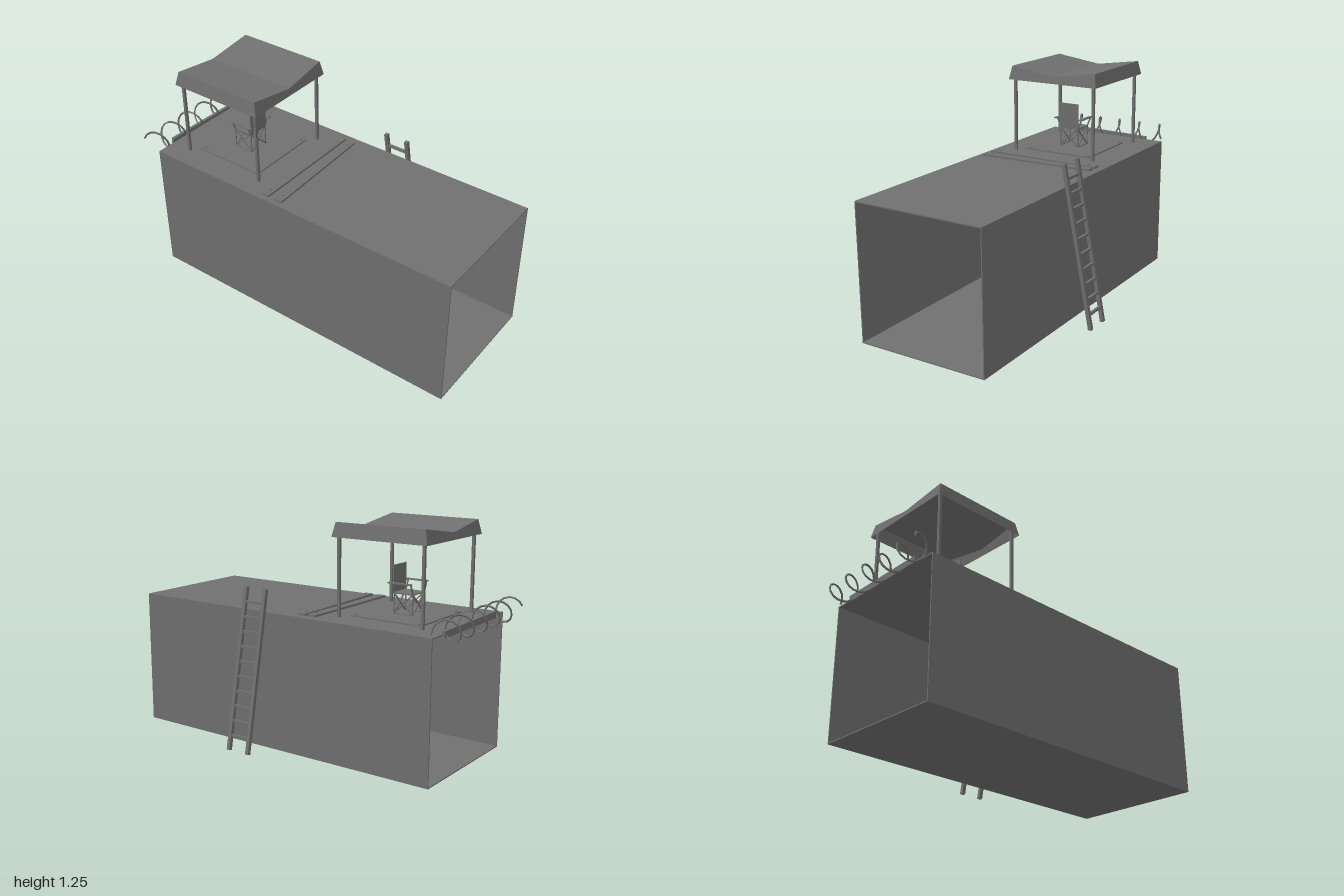
import * as THREE from 'three';

const mat = new THREE.MeshStandardMaterial({ color: 0x707070, flatShading: true, side: THREE.DoubleSide });

function add(parent, name, geometry, x = 0, y = 0, z = 0) {
  const mesh = new THREE.Mesh(geometry, mat);
  mesh.name = name;
  mesh.position.set(x, y, z);
  parent.add(mesh);
  return mesh;
}
const box = (parent, name, w, h, d, x, y, z) => add(parent, name, new THREE.BoxGeometry(w, h, d), x, y, z);

// Square bar between two points
function bar(parent, name, a, b, r) {
  const p = new THREE.Vector3(...a), q = new THREE.Vector3(...b);
  const dir = q.clone().sub(p);
  const geo = new THREE.CylinderGeometry(r, r, dir.length(), 4).rotateY(Math.PI / 4);
  const mesh = add(parent, name, geo);
  mesh.position.copy(p).add(q).multiplyScalar(0.5);
  mesh.quaternion.setFromUnitVectors(new THREE.Vector3(0, 1, 0), dir.normalize());
}

function group(parent, name) {
  const g = new THREE.Group();
  g.name = name;
  parent.add(g);
  return g;
}

// Container: four thin walls, both ends open
function container(root) {
  const g = group(root, 'container');
  const t = 0.006, L = 1.885, cx = 0.0575, cz = 0.079, W = 0.753, y0 = 0.003, y1 = 0.758;
  box(g, 'containerFloor', L, t, W, cx, y0 + t / 2, cz);
  box(g, 'containerTop', L, t, W, cx, y1 - t / 2, cz);
  for (const s of [-1, 1])
    box(g, s > 0 ? 'frontWall' : 'backWall', L, y1 - y0 - 2 * t, t, cx, (y0 + y1) / 2, cz + s * (W - t) / 2);
}

// Canopy: butterfly roof with a flared skirt on four posts
function canopy(root) {
  const g = group(root, 'canopy');
  const cx = -0.508, cz = 0.088, yb = 1.174;
  // stations along z: [top z, top y, top half width, hem z]
  const st = [[-0.268, 1.251, 0.262, -0.282], [0, 1.211, 0.27, 0], [0.268, 1.251, 0.262, 0.282]];
  const pos = [];
  const quad = (a, b, c, d) => pos.push(...a, ...b, ...c, ...a, ...c, ...d);
  const top = (i, s) => [s * st[i][2], st[i][1], st[i][0]];
  const hem = (i, s) => [s * 0.279, yb, st[i][3]];
  for (let i = 0; i < 2; i++) {
    quad(top(i, -1), top(i + 1, -1), top(i + 1, 1), top(i, 1));
    quad(hem(i, -1), hem(i + 1, -1), top(i + 1, -1), top(i, -1));
    quad(hem(i + 1, 1), hem(i, 1), top(i, 1), top(i + 1, 1));
  }
  quad(hem(2, -1), hem(2, 1), top(2, 1), top(2, -1));
  quad(hem(0, 1), hem(0, -1), top(0, -1), top(0, 1));
  const geo = new THREE.BufferGeometry();
  geo.setAttribute('position', new THREE.Float32BufferAttribute(pos, 3));
  geo.computeVertexNormals();
  add(g, 'canopyRoof', geo, cx, 0, cz);
  for (const sx of [-1, 1]) for (const sz of [-1, 1])
    box(g, 'canopyPost', 0.015, 0.46, 0.015, cx + sx * 0.249, 0.988, cz + sz * 0.254);
}

// Floor mat with corner pegs, and two boards with fixings
function deck(root) {
  const g = group(root, 'deck');
  box(g, 'floorMat', 0.42, 0.007, 0.42, -0.51, 0.7615, 0.09);
  for (const sx of [-1, 1]) for (const sz of [-1, 1])
    add(g, 'matPeg', new THREE.CylinderGeometry(0.009, 0.009, 0.006, 8), -0.51 + sx * 0.19, 0.767, 0.09 + sz * 0.19);
  for (const [x, turn] of [[-0.145, 0], [-0.07, 0.034]]) {
    const b = group(g, 'plank');
    b.position.set(x, 0.764, 0.085);
    b.rotation.y = turn;
    box(b, 'plankBoard', 0.048, 0.011, 0.678, 0, 0, 0);
    for (const sz of [-1, 1])
      add(b, 'plankBolt', new THREE.CylinderGeometry(0.007, 0.007, 0.006, 8), 0, 0.007, sz * 0.29);
  }
}

// Folding chair facing -x
function chair(root) {
  const g = group(root, 'chair');
  g.position.set(-0.517, 0.763, 0.103);
  const w = 0.058, d = 0.056, r = 0.0045, seat = 0.113;
  box(g, 'seat', 0.12, 0.006, 0.122, 0, seat, 0);
  box(g, 'backrest', 0.006, 0.142, 0.124, 0.06, 0.188, 0);
  for (const s of [-1, 1]) {
    const z = s * w, za = s * 0.08;
    bar(g, 'footRail', [-0.06, 0.004, z], [0.06, 0.004, z], r);
    bar(g, 'seatRail', [-0.06, seat, z], [0.06, seat, z], r);
    for (const x of [-d, d]) {
      bar(g, 'sideUpright', [x, 0, z], [x, seat, z], r * 0.8);
      bar(g, 'armSupport', [x, seat, z], [x, 0.166, za], r);
    }
    bar(g, 'backPost', [0.06, seat, z], [0.06, 0.26, z], r);
    box(g, 'armrest', 0.138, 0.006, 0.022, 0.009, 0.168, za);
    // crossed legs on the sides and on the front and back
    for (const k of [-1, 1]) {
      bar(g, 'sideBrace', [-k * d, 0.004, z], [k * d, seat, z], r * 0.8);
      bar(g, 'crossLeg', [s * d, 0.004, -k * w], [s * d, seat, k * w], r);
    }
  }
}

// Leaning ladder on the back wall
function ladder(root) {
  const g = group(root, 'ladder');
  const cx = 0.195, bottom = [0.012, -0.453], top = [0.872, -0.288];
  const at = (x, t) => [x, bottom[0] + (top[0] - bottom[0]) * t, bottom[1] + (top[1] - bottom[1]) * t];
  for (const s of [-1, 1])
    bar(g, 'ladderRail', at(cx + s * 0.065, -0.008), at(cx + s * 0.065, 1.008), 0.0145);
  for (let i = 0; i < 10; i++) {
    const t = 0.085 + i * 0.0925;
    bar(g, 'ladderRung', at(cx - 0.06, t), at(cx + 0.06, t), 0.01);
  }
}

// Wire coil along the open end, held by a slightly tilted beam
function wire(root) {
  const g = group(root, 'wireCoil');
  const pts = [], turns = 5.5, n = 88;
  for (let i = 0; i <= n; i++) {
    const t = i / n * turns, a = t * Math.PI * 2 + 0.25;
    pts.push(new THREE.Vector3(-0.935 - 0.06 * Math.cos(a), 0.788 + 0.06 * Math.sin(a), 0.455 - t * 0.1363));
  }
  add(g, 'coil', new THREE.TubeGeometry(new THREE.CatmullRomCurve3(pts), 77, 0.0055, 4));
  const beam = box(g, 'coilBeam', 0.017, 0.036, 0.53, -0.889, 0.76, 0.075);
  beam.rotation.set(-0.015, -0.01, 0);
}

export function createModel() {
  const root = new THREE.Group();
  root.name = 'containerLookout';
  container(root);
  canopy(root);
  deck(root);
  chair(root);
  ladder(root);
  wire(root);
  return root;
}
